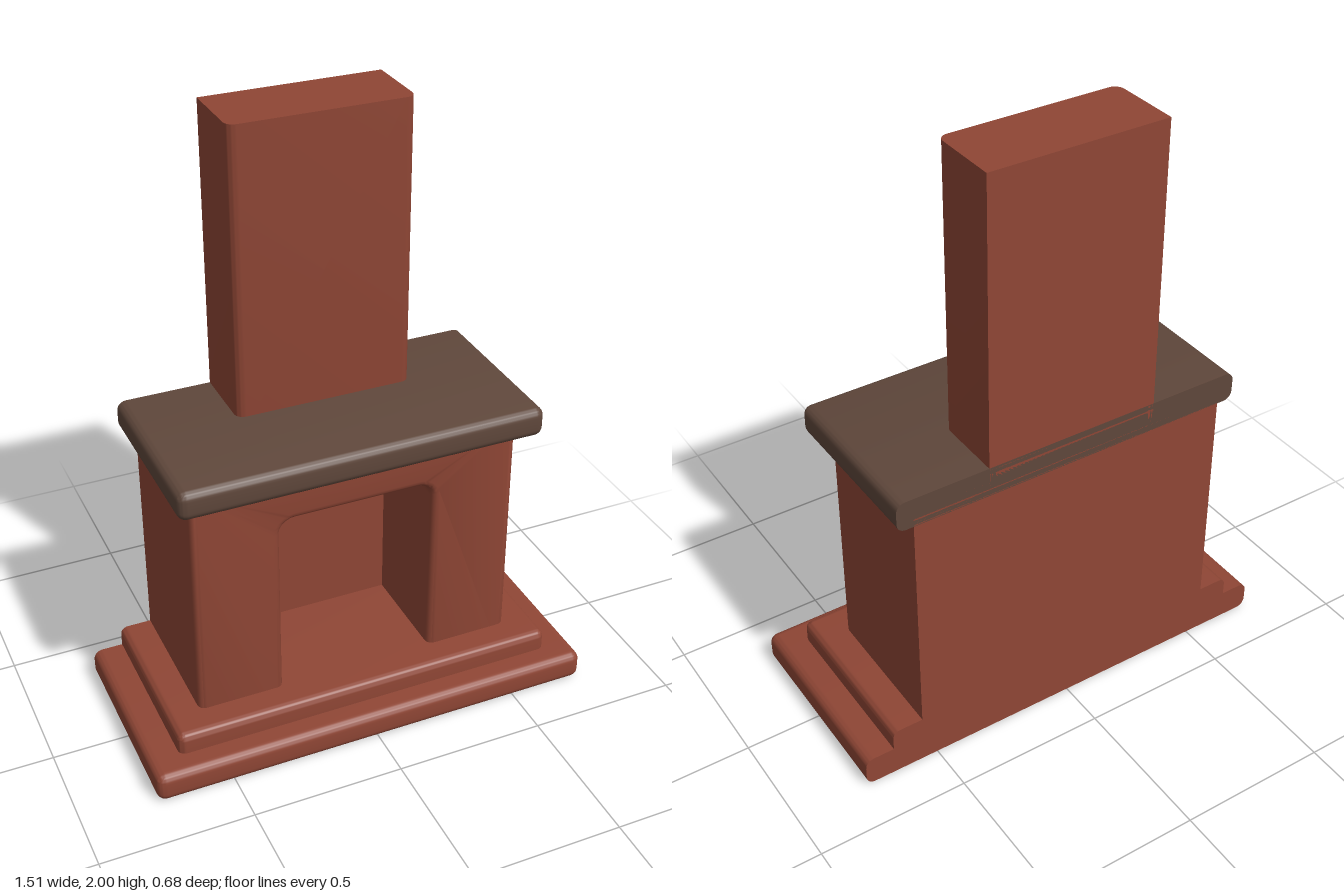
import * as THREE from 'three';
import { RoundedBoxGeometry } from 'three/addons/geometries/RoundedBoxGeometry.js';
import { toCreasedNormals } from 'three/addons/utils/BufferGeometryUtils.js';

const BACK = -0.34; // flat wall plane shared by every part

// Rounded block whose back is cut flat at the wall; flatTop also cuts the top flat.
function wallBlock(halfWidth, bottom, top, front, r, flatTop = false) {
  const upper = flatTop ? top + r : top;
  const rear = BACK - r;
  const geo = new RoundedBoxGeometry(halfWidth * 2, upper - bottom, front - rear, 4, r);
  geo.translate(0, (upper + bottom) / 2, (front + rear) / 2);
  const p = geo.attributes.position;
  for (let i = 0; i < p.count; i++) {
    p.setZ(i, Math.max(p.getZ(i), BACK));
    if (flatTop) p.setY(i, Math.min(p.getY(i), top));
  }
  return toCreasedNormals(geo, 0.7);
}

// Arch-shaped front of the firebox with softly rounded edges.
function surroundGeometry() {
  const w = 0.55, o = 0.26, top = 1.0, bottom = 0.06, arch = 0.81, c = 0.05, r = 0.025;
  const s = new THREE.Shape();
  s.moveTo(-w, bottom);
  s.lineTo(-o, bottom);
  s.lineTo(-o, arch - c);
  s.absarc(-o + c, arch - c, c, Math.PI, Math.PI / 2, true);
  s.lineTo(o - c, arch);
  s.absarc(o - c, arch - c, c, Math.PI / 2, 0, true);
  s.lineTo(o, bottom);
  s.lineTo(w, bottom);
  s.lineTo(w, top);
  s.lineTo(-w, top);
  s.closePath();
  const geo = new THREE.ExtrudeGeometry(s, {
    depth: 0.41, curveSegments: 6,
    bevelEnabled: true, bevelThickness: r, bevelSize: r, bevelOffset: -r, bevelSegments: 4,
  });
  geo.translate(0, 0, 0.16 - r - 0.41);
  return toCreasedNormals(geo, 0.7);
}

export function createModel() {
  const group = new THREE.Group();
  group.name = 'fireplace';

  const brick = new THREE.MeshStandardMaterial({ color: 0x8f4635 });
  brick.name = 'brick red';
  const wood = new THREE.MeshStandardMaterial({ color: 0x5f473b });
  wood.name = 'dark wood';

  const add = (name, geometry, material) => {
    const mesh = new THREE.Mesh(geometry, material);
    mesh.name = name;
    group.add(mesh);
  };

  // Stepped hearth
  add('hearthBase', wallBlock(0.755, 0, 0.1, 0.34, 0.03), brick);
  add('hearthStep', wallBlock(0.655, 0.03, 0.17, 0.26, 0.025), brick);

  // Firebox: arched surround in front of a solid back wall
  add('fireboxSurround', surroundGeometry(), brick);
  const wall = new THREE.BoxGeometry(1.1, 0.9, 0.14);
  wall.translate(0, 0.55, BACK + 0.07);
  add('fireboxBack', wall, brick);

  // Mantel shelf and chimney
  add('mantel', wallBlock(0.605, 0.95, 1.05, 0.24, 0.03), wood);
  add('chimney', wallBlock(0.295, 0.97, 2, -0.095, 0.03, true), brick);

  return group;
}
